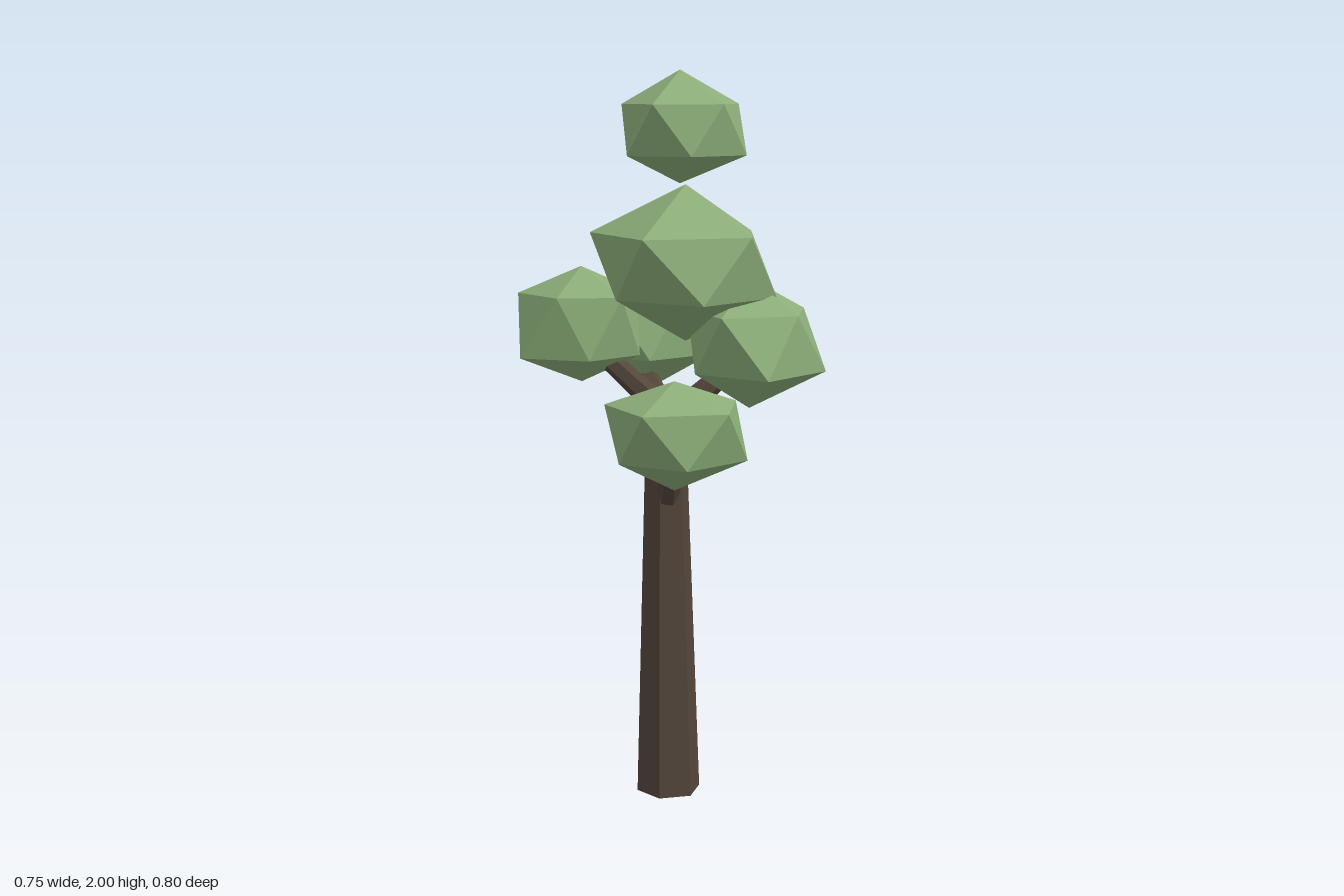
import * as THREE from 'three';

export function createModel() {
  const tree = new THREE.Group();
  tree.name = 'tree';
  const leaf = new THREE.MeshStandardMaterial({ name: 'leaf green', color: 0x8cae79, flatShading: true });
  const bark = new THREE.MeshStandardMaterial({ name: 'bark brown', color: 0x54463b, flatShading: true });

  const add = (name, geometry, material) => {
    const mesh = new THREE.Mesh(geometry, material);
    mesh.name = name;
    tree.add(mesh);
    return mesh;
  };

  // Uneven twenty-sided clump: two staggered five-point rings between two tips.
  // heights = [bottom tip, lower ring, upper ring, top tip]
  function clump(name, x, z, heights, upper, lower) {
    const [bottom, low, high, top] = heights;
    const ring = (radii, y, turn) => radii.map((r, i) => {
      const a = (i * 72 + turn) * Math.PI / 180;
      return [x + r * Math.cos(a), y, z + r * Math.sin(a)];
    });
    const u = ring(upper, high, 0);
    const l = ring(lower, low, 36);
    const tip = [x, top, z];
    const base = [x, bottom, z];
    const points = [];
    for (let i = 0; i < 5; i++) {
      const j = (i + 1) % 5;
      points.push(tip, u[j], u[i], u[i], u[j], l[i], u[j], l[j], l[i], base, l[i], l[j]);
    }
    const g = new THREE.BufferGeometry();
    g.setAttribute('position', new THREE.Float32BufferAttribute(points.flat(), 3));
    g.computeVertexNormals();
    add(name, g, leaf);
  }

  clump('topFoliage', 0.055, -0.02, [1.7, 1.775, 1.91, 2],
    [0.182, 0.158, 0.168, 0.158, 0.168], [0.18, 0.157, 0.16, 0.188, 0.175]);
  clump('mainFoliage', 0.045, 0.03, [1.28, 1.4, 1.57, 1.7],
    [0.205, 0.236, 0.262, 0.26, 0.205], [0.247, 0.247, 0.21, 0.2, 0.25]);
  clump('backFoliage', 0.04, -0.225, [1.1, 1.215, 1.37, 1.48],
    [0.182, 0.155, 0.17, 0.172, 0.184], [0.2, 0.16, 0.155, 0.17, 0.163]);
  clump('leftFoliage', 0.2, 0.11, [1.095, 1.2, 1.36, 1.45],
    [0.172, 0.168, 0.19, 0.17, 0.22], [0.207, 0.22, 0.17, 0.17, 0.166]);
  clump('rightFoliage', -0.19, -0.128, [1.165, 1.24, 1.405, 1.48],
    [0.17, 0.155, 0.138, 0.174, 0.143], [0.16, 0.147, 0.183, 0.16, 0.16]);
  clump('frontFoliage', -0.09, 0.215, [0.915, 1.0, 1.14, 1.205],
    [0.185, 0.19, 0.19, 0.185, 0.17], [0.192, 0.175, 0.163, 0.17, 0.18]);

  // Leaning, tapered six-sided trunk
  const trunk = new THREE.CylinderGeometry(0.054, 0.09, 1.12, 6);
  trunk.rotateY(Math.PI / 12);
  trunk.translate(0, 0.56, 0);
  const p = trunk.attributes.position;
  for (let i = 0; i < p.count; i++) {
    const t = p.getY(i) / 1.12;
    p.setX(i, p.getX(i) + 0.01 - 0.02 * t);
    p.setZ(i, p.getZ(i) + 0.02 * t);
  }
  add('trunk', trunk, bark);

  // Straight tapered branches, each from the trunk into a clump
  function branch(name, from, to, r0, r1) {
    const a = new THREE.Vector3(...from);
    const d = new THREE.Vector3(...to).sub(a);
    const g = new THREE.CylinderGeometry(r1, r0, d.length(), 6);
    g.translate(0, d.length() / 2, 0);
    const mesh = add(name, g, bark);
    mesh.position.copy(a);
    mesh.quaternion.setFromUnitVectors(new THREE.Vector3(0, 1, 0), d.normalize());
  }
  branch('frontBranch', [-0.02, 0.86, 0.05], [-0.09, 1.03, 0.22], 0.032, 0.022);
  branch('leftBranch', [0, 1.06, 0.02], [0.2, 1.25, 0.11], 0.038, 0.024);
  branch('rightBranch', [0, 1.08, 0.02], [-0.19, 1.29, -0.12], 0.036, 0.024);
  branch('backBranch', [0, 1.06, 0.02], [0.04, 1.21, -0.24], 0.036, 0.024);

  return tree;
}
